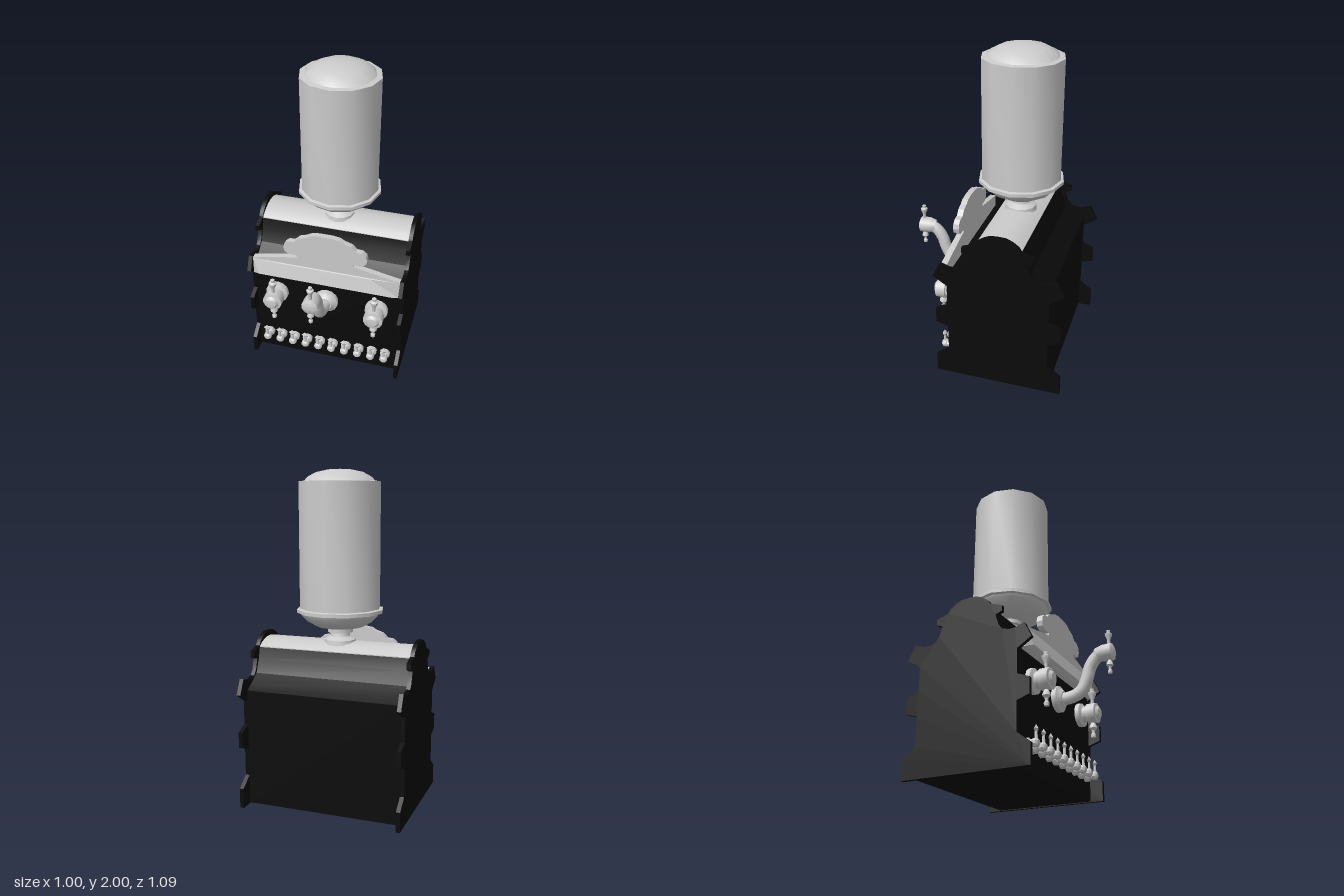
import * as THREE from 'three';
import { toCreasedNormals, mergeVertices } from 'three/addons/utils/BufferGeometryUtils.js';

const ZC = -0.145; // centre line of the cabinet in z
const V = (x, y) => new THREE.Vector2(x, y);

export function createModel() {
  const model = new THREE.Group();
  const metal = new THREE.MeshStandardMaterial({ color: 0xcccccc });
  const black = new THREE.MeshStandardMaterial({ color: 0x0a0a0a });

  const add = (parent, name, geo, mat, x = 0, y = 0, z = 0) => {
    const mesh = new THREE.Mesh(geo, mat);
    mesh.name = name;
    mesh.position.set(x, y, z);
    parent.add(mesh);
    return mesh;
  };
  const lathe = (pts, sides, crease = 0.6) =>
    toCreasedNormals(new THREE.LatheGeometry(pts.map(p => V(...p)), sides), crease);
  // Mirrors a half outline (bottom to top) into a closed shape
  const mirrored = half => new THREE.Shape([
    ...half.map(([u, y]) => V(u, y)),
    ...half.slice().reverse().filter(([u]) => u > 0).map(([u, y]) => V(-u, y)),
  ]);
  // Extrudes a z-y section along x, centred
  const along = (half, width) => {
    const g = new THREE.ExtrudeGeometry(mirrored(half), { depth: width, bevelEnabled: false });
    g.translate(0, 0, -width / 2).rotateY(-Math.PI / 2);
    return toCreasedNormals(g, 0.5);
  };

  // Cabinet body and rounded metal lid
  add(model, 'cabinetBody', along([[0.313, 0.004], [0.313, 0.71], [0.26, 0.74], [0.19, 0.79],
    [0.155, 0.87], [0.138, 0.94]], 0.95), black, 0, 0, ZC);
  add(model, 'roundedLid', along([[0.138, 0.935], [0.138, 0.945], [0.105, 0.966], [0.072, 0.98],
    [0.036, 0.988], [0, 0.991]], 0.95), metal, 0, 0, ZC);

  // Ornate side panels
  const panel = [[0.393, 0], [0.393, 0.12], [0.313, 0.18], [0.313, 0.35], [0.388, 0.375], [0.388, 0.47],
    [0.313, 0.5], [0.313, 0.645], [0.4, 0.7], [0.355, 0.79], [0.3, 0.77], [0.26, 0.768], [0.22, 0.78],
    [0.195, 0.81], [0.175, 0.875], [0.215, 0.89], [0.215, 0.925], [0.14, 0.95], [0.125, 0.975],
    [0.09, 1.0], [0.05, 1.018], [0, 1.021]];
  for (const s of [-1, 1])
    add(model, s > 0 ? 'leftSidePanel' : 'rightSidePanel', along(panel, 0.025), black, s * 0.4865, 0, ZC);

  // Boiler tank on its neck
  add(model, 'boilerTank', lathe([[0.1, 0.97], [0.095, 1.0], [0.06, 1.02], [0.055, 1.04], [0.077, 1.043],
    [0.077, 1.067], [0.145, 1.08], [0.2, 1.112], [0.232, 1.145], [0.24, 1.162], [0.262, 1.165], [0.262, 1.185],
    [0.243, 1.19], [0.243, 1.928], [0.21, 1.932], [0.19, 1.955], [0.14, 1.981], [0.07, 1.996], [0, 2]], 12),
    metal, 0, 0, ZC);

  // Front crest plate
  const crest = mirrored([[0.473, 0.66], [0.473, 0.78], [0.18, 0.84], [0.18, 0.855], [0.235, 0.855],
    [0.258, 0.872], [0.266, 0.9], [0.258, 0.93], [0.235, 0.95], [0.195, 0.955], [0.165, 0.985],
    [0.12, 1.0], [0.09, 1.017], [0.04, 1.025], [0, 1.025]]);
  add(model, 'crestPlate', new THREE.ExtrudeGeometry(crest, { depth: 0.037, bevelEnabled: false }),
    metal, 0, 0, 0.17);

  // Wedge-shaped moulding across the lower crest
  const wedge = new THREE.BufferGeometry();
  wedge.setAttribute('position', new THREE.Float32BufferAttribute([
    -0.473, 0.66, 0.207, 0.473, 0.66, 0.207, 0.473, 0.775, 0.207, -0.473, 0.775, 0.207,
    -0.43, 0.678, 0.236, 0.43, 0.678, 0.236, 0.29, 0.772, 0.213, -0.29, 0.772, 0.213], 3));
  wedge.setIndex([4, 5, 6, 4, 6, 7, 0, 1, 5, 0, 5, 4, 1, 2, 6, 1, 6, 5, 2, 3, 7, 2, 7, 6, 3, 0, 4, 3, 4, 7]);
  add(model, 'crestMoulding', toCreasedNormals(wedge, 0.1), metal);

  // Finials above and below a valve
  const upper = lathe([[0.011, 0.04], [0.011, 0.09], [0.024, 0.12], [0.026, 0.135], [0.013, 0.143],
    [0.014, 0.16], [0, 0.165]], 10);
  const lower = lathe([[0, -0.158], [0.015, -0.152], [0.016, -0.135], [0.009, -0.125], [0.011, -0.108],
    [0.025, -0.095], [0.022, -0.08], [0.011, -0.06], [0.011, -0.04]], 10);
  const finials = (parent, y, z, scale) => {
    add(parent, 'upperFinial', upper, metal, 0, y, z).scale.setScalar(scale);
    add(parent, 'lowerFinial', lower, metal, 0, y, z).scale.setScalar(scale);
  };

  // Steam taps at both sides
  const tapBody = lathe([[0.074, 0.16], [0.074, 0.195], [0.05, 0.205], [0.05, 0.228], [0.062, 0.232],
    [0.062, 0.29], [0.045, 0.293], [0.03, 0.308], [0, 0.312]], 14).rotateX(Math.PI / 2);
  for (const s of [-1, 1]) {
    const tap = new THREE.Group();
    tap.name = s > 0 ? 'leftTap' : 'rightTap';
    tap.position.set(s * 0.33, 0.508, 0);
    add(tap, 'tapBody', tapBody, metal);
    finials(tap, 0, 0.26, 1);
    model.add(tap);
  }

  // Curved central spout with a valve head
  const spout = new THREE.Group();
  spout.name = 'centralSpout';
  model.add(spout);
  add(spout, 'spoutFlange', lathe([[0.078, 0.16], [0.078, 0.195], [0.06, 0.203], [0.045, 0.22], [0, 0.22]], 14)
    .rotateX(Math.PI / 2), metal, 0, 0.508);
  const path = new THREE.CatmullRomCurve3([[0.505, 0.19], [0.508, 0.26], [0.535, 0.325], [0.6, 0.362],
    [0.67, 0.385], [0.725, 0.425], [0.745, 0.475]].map(([y, z]) => new THREE.Vector3(0, y, z)));
  add(spout, 'spoutPipe', new THREE.TubeGeometry(path, 24, 0.037, 12), metal);
  add(spout, 'spoutHead', lathe([[0.037, 0.425], [0.05, 0.47], [0.051, 0.528], [0.035, 0.536], [0, 0.542]], 14)
    .rotateX(Math.PI / 2), metal, 0, 0.745);
  finials(spout, 0.745, 0.508, 0.86);

  // Row of small valves with diamond handles
  const knob = lathe([[0.033, 0.16], [0.033, 0.19], [0.022, 0.2], [0.022, 0.215], [0.026, 0.22],
    [0.026, 0.238], [0.016, 0.248], [0, 0.251]], 10).rotateX(Math.PI / 2);
  const stem = new THREE.CylinderGeometry(0.007, 0.01, 0.07, 8);
  const diamond = new THREE.OctahedronGeometry(0.025);
  for (let i = 0; i < 10; i++) {
    const valve = new THREE.Group();
    valve.name = 'smallValve' + (i + 1);
    valve.position.set(-0.4 + i * 0.8 / 9, 0.14, 0);
    add(valve, 'valveBody', knob, metal);
    add(valve, 'valveStem', stem, metal, 0, 0.045, 0.232);
    add(valve, 'valveHandle', diamond, metal, 0, 0.074, 0.232).scale.z = 0.6;
    model.add(valve);
  }
  return model;
}
